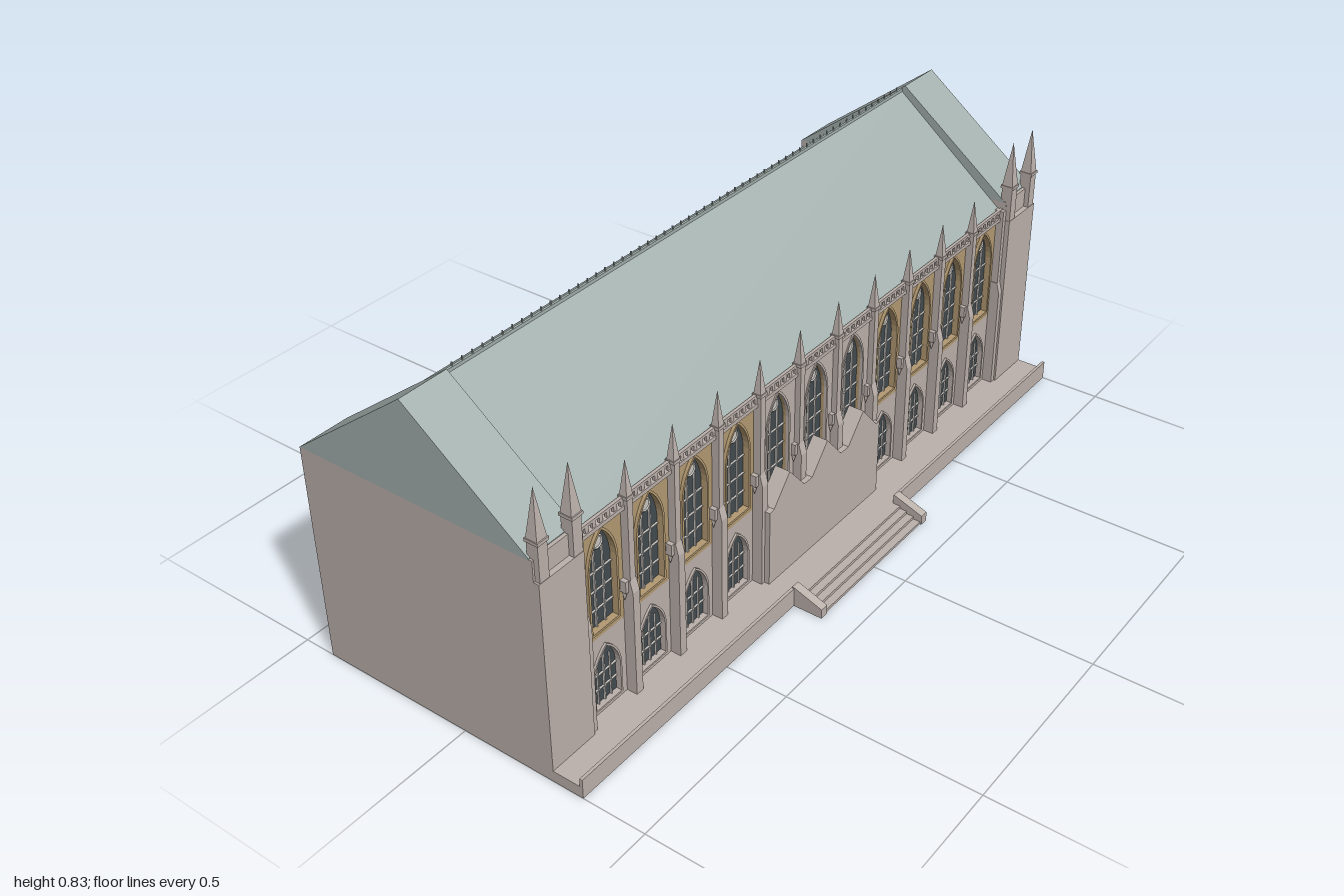
import * as THREE from 'three';
import { mergeGeometries } from 'three/addons/utils/BufferGeometryUtils.js';

const mat = (name, color, side = THREE.FrontSide) => {
  const m = new THREE.MeshStandardMaterial({ color, side });
  m.name = name;
  return m;
};

const PITCH = 0.1565, BAYS = 11, BLOCK_IN = 0.865, BACK = -0.415;
const bayX = i => (i - (BAYS - 1) / 2) * PITCH;

// Box given by its minimum and maximum corners
function box(x0, x1, y0, y1, z0, z1) {
  return new THREE.BoxGeometry(x1 - x0, y1 - y0, z1 - z0)
    .translate((x0 + x1) / 2, (y0 + y1) / 2, (z0 + z1) / 2);
}

// Outline extruded along z from z0 to z1
function plate(shape, z0, z1) {
  return new THREE.ExtrudeGeometry(shape, { depth: z1 - z0, bevelEnabled: false, curveSegments: 6 })
    .translate(0, 0, z0);
}

// Profile of [z, y] points extruded along x from x0 to x1
function profileX(points, x0, x1) {
  const s = new THREE.Shape(points.map(([z, y]) => new THREE.Vector2(-z, y)));
  return new THREE.ExtrudeGeometry(s, { depth: x1 - x0, bevelEnabled: false })
    .rotateY(Math.PI / 2).translate(x0, 0, 0);
}

// Pointed arch outline
function arch(w, y0, spring, top, Type = THREE.Shape) {
  const s = new Type(), c = spring + (top - spring) * 0.62;
  s.moveTo(-w, y0);
  s.lineTo(w, y0);
  s.lineTo(w, spring);
  s.quadraticCurveTo(w * 0.9, c, 0, top);
  s.quadraticCurveTo(-w * 0.9, c, -w, spring);
  s.closePath();
  return s;
}

// Rectangular wall panel with one arched opening
function panel(y0, y1, win, z0, z1) {
  const h = PITCH / 2;
  const s = new THREE.Shape([[-h, y0], [h, y0], [h, y1], [-h, y1]].map(p => new THREE.Vector2(...p)));
  s.holes.push(arch(...win, THREE.Path));
  return plate(s, z0, z1);
}

// Moulding that follows an arched opening
function moulding([w, y0, spring, top], t, z0, z1) {
  const s = arch(w + t, y0 - t, spring, top + t * 1.3);
  s.holes.push(arch(w, y0, spring, top, THREE.Path));
  return plate(s, z0, z1);
}

// Four-sided spire
function spire(r, y0, y1, x, z) {
  return new THREE.ConeGeometry(r * Math.SQRT2, y1 - y0, 4, 1).toNonIndexed()
    .rotateY(Math.PI / 4).translate(x, (y0 + y1) / 2, z);
}

export function createModel() {
  const model = new THREE.Group();
  model.name = 'hall';
  const stone = mat('stone', 0xbdb2ac);
  const roofMat = mat('roofSlate', 0xa3b0ad, THREE.DoubleSide);
  const tan = mat('tanStone', 0xb39a72);
  const glass = mat('darkGlass', 0x434c51, THREE.DoubleSide);
  const pale = mat('paleTracery', 0xcbc8c3);

  const add = (name, geometries, material) => {
    const list = [].concat(geometries).map(g => (g.index ? g.toNonIndexed() : g));
    const geo = list.length > 1 ? mergeGeometries(list) : list[0];
    geo.computeVertexNormals();
    const mesh = new THREE.Mesh(geo, material);
    mesh.name = name;
    model.add(mesh);
  };

  // Terrace, front parapet and steps with sloping cheek walls
  add('terrace', box(-1, 1, 0, 0.03, 0.215, 0.335), stone);
  for (const s of [-1, 1]) {
    const a = s < 0 ? -1 : 0.235;
    add('terraceParapet', box(a, a + 0.765, 0, 0.052, 0.328, 0.336), stone);
    const c = s < 0 ? -0.235 : 0.212;
    add('stepCheek', profileX([[0.33, 0], [0.415, 0], [0.415, 0.026], [0.335, 0.055], [0.33, 0.055]], c, c + 0.023), stone);
  }
  const steps = [];
  for (let i = 0; i < 4; i++) {
    steps.push(box(-0.212, 0.212, i * 0.0075, (i + 1) * 0.0075, 0.33, 0.411 - i * 0.02));
  }
  add('frontSteps', steps, stone);

  // End blocks with gabled roofs and corner pinnacles
  for (const s of [-1, 1]) {
    const x0 = s < 0 ? -1 : BLOCK_IN, x1 = x0 + 0.135;
    add('endBlock', [
      box(x0, x1, 0, 0.58, BACK, 0.232),
      box(x0, x1, 0, 0.53, 0.232, 0.255),
      box(x0, x1, 0.53, 0.583, 0.232, 0.241),
    ], stone);
    add('endRoof', profileX([[BACK, 0.58], [0.232, 0.58], [0.232, 0.585], [-0.087, 0.83]], x0, x1), roofMat);
    for (const px of [0.88, 0.981]) {
      const x = s * px;
      add('cornerPinnacle', [
        box(x - 0.014, x + 0.014, 0.53, 0.63, 0.224, 0.254),
        box(x - 0.017, x + 0.017, 0.622, 0.63, 0.221, 0.257),
        spire(0.015, 0.63, 0.75, x, 0.239),
      ], stone);
    }
  }

  // Main roof, open underneath, with ridge cresting
  const roof = new THREE.BufferGeometry();
  const rows = [[0.22, 0.557], [-0.098, 0.814], [BACK, 0.557]];
  const pos = [], B = BLOCK_IN;
  for (let i = 0; i < 2; i++) {
    const [z0, y0] = rows[i], [z1, y1] = rows[i + 1];
    pos.push(-B, y0, z0, B, y0, z0, B, y1, z1, -B, y0, z0, B, y1, z1, -B, y1, z1);
  }
  roof.setAttribute('position', new THREE.Float32BufferAttribute(pos, 3));
  add('mainRoof', roof, roofMat);
  const crest = [box(-B, B, 0.808, 0.82, -0.101, -0.095)];
  for (let i = 0; i <= 56; i++) {
    const x = -0.84 + i * 0.03;
    crest.push(box(x - 0.0012, x + 0.0012, 0.82, 0.83, -0.0995, -0.0965));
  }
  add('ridgeCresting', crest, roofMat);

  // Bays: wall panels, windows and tracery
  const lowWin = [0.042, 0.05, 0.135, 0.208], highWin = [0.042, 0.265, 0.43, 0.52];
  const lowWall = [], highWall = [], stoneFrames = [], panes = [], bars = [];
  for (let i = 0; i < BAYS; i++) {
    const x = bayX(i), centre = Math.abs(i - 5) <= 1;
    const put = (list, g) => list.push(g.translate(x, 0, 0).toNonIndexed());
    const bar = (x0, x1, y0, y1) => put(bars, box(x0, x1, y0, y1, 0.213, 0.218));
    put(lowWall, panel(0, 0.24, lowWin, 0.208, 0.222));
    put(highWall, panel(0.24, 0.535, highWin, 0.208, 0.222));
    if (centre) put(stoneFrames, panel(0.24, 0.535, highWin, 0.222, 0.227));
    put(centre ? stoneFrames : highWall, moulding(highWin, 0.006, 0.222, 0.23));
    put(panes, plate(arch(...highWin), 0.209, 0.213));
    put(panes, plate(arch(...lowWin), 0.209, 0.213));
    // Upper lights, crossbars and rose ring
    for (const k of [-0.014, 0.014]) bar(k - 0.0018, k + 0.0018, 0.265, 0.468);
    for (const y of [0.31, 0.36, 0.41]) bar(-0.041, 0.041, y - 0.001, y + 0.001);
    put(bars, new THREE.TorusGeometry(0.015, 0.003, 4, 14).translate(0, 0.482, 0.216));
    put(bars, new THREE.CylinderGeometry(0.013, 0.013, 0.003, 12).rotateX(Math.PI / 2).translate(0, 0.482, 0.215));
    if (centre) continue;
    put(stoneFrames, moulding(lowWin, 0.005, 0.222, 0.228));
    // Lower glazing bars
    bar(-0.0018, 0.0018, 0.05, 0.195);
    for (const k of [-0.021, 0.021]) bar(k - 0.001, k + 0.001, 0.05, 0.17);
    for (const y of [0.09, 0.13]) bar(-0.041, 0.041, y - 0.001, y + 0.001);
  }
  add('lowerWall', lowWall, stone);
  add('upperWall', highWall, tan);
  add('windowFrames', stoneFrames, stone);
  add('windowGlass', panes, glass);
  add('windowTracery', bars, pale);

  // Cornice and pierced balustrade at the eaves
  const rail = [box(-B, B, 0.53, 0.54, 0.208, 0.234), box(-B, B, 0.555, 0.562, 0.224, 0.232)];
  for (let i = 0; i < BAYS * 7; i++) {
    const x = (i - (BAYS * 7 - 1) / 2) * PITCH / 7;
    rail.push(box(x - 0.005, x + 0.005, 0.54, 0.555, 0.225, 0.231));
  }
  add('eavesBalustrade', rail, stone);

  // Stepped buttresses with pinnacles and side corbels
  for (let i = 0; i <= BAYS; i++) {
    const x = (i - BAYS / 2) * PITCH, end = i === 0 || i === BAYS, w = 0.011;
    const parts = [
      profileX([[0.215, 0.03], [0.25, 0.03], [0.25, 0.315], [0.242, 0.345], [0.215, 0.345]], x - w, x + w),
      box(x - w * 0.8, x + w * 0.8, 0.34, 0.56, 0.215, 0.242),
    ];
    if (!end) {
      parts.push(box(x - 0.012, x + 0.012, 0.556, 0.564, 0.22, 0.244), spire(0.01, 0.564, 0.652, x, 0.232));
      for (const s of [-1, 1]) {
        const cx = x + s * 0.015;
        parts.push(box(cx - 0.005, cx + 0.005, 0.315, 0.345, 0.222, 0.238));
        parts.push(new THREE.ConeGeometry(0.008, 0.025, 4).rotateX(Math.PI).translate(cx, 0.303, 0.23));
      }
    }
    add('buttress', parts.map(g => (g.index ? g.toNonIndexed() : g)), stone);
  }

  // Entrance porch with three gables
  const outline = [[-0.235, 0.03], [0.235, 0.03], [0.235, 0.24]];
  for (const c of [1, 0, -1]) {
    outline.push([c * PITCH + 0.062, 0.243], [c * PITCH, 0.315], [c * PITCH - 0.062, 0.243]);
  }
  outline.push([-0.235, 0.24]);
  add('porch', plate(new THREE.Shape(outline.map(p => new THREE.Vector2(...p))), 0.222, 0.264), stone);

  return model;
}
